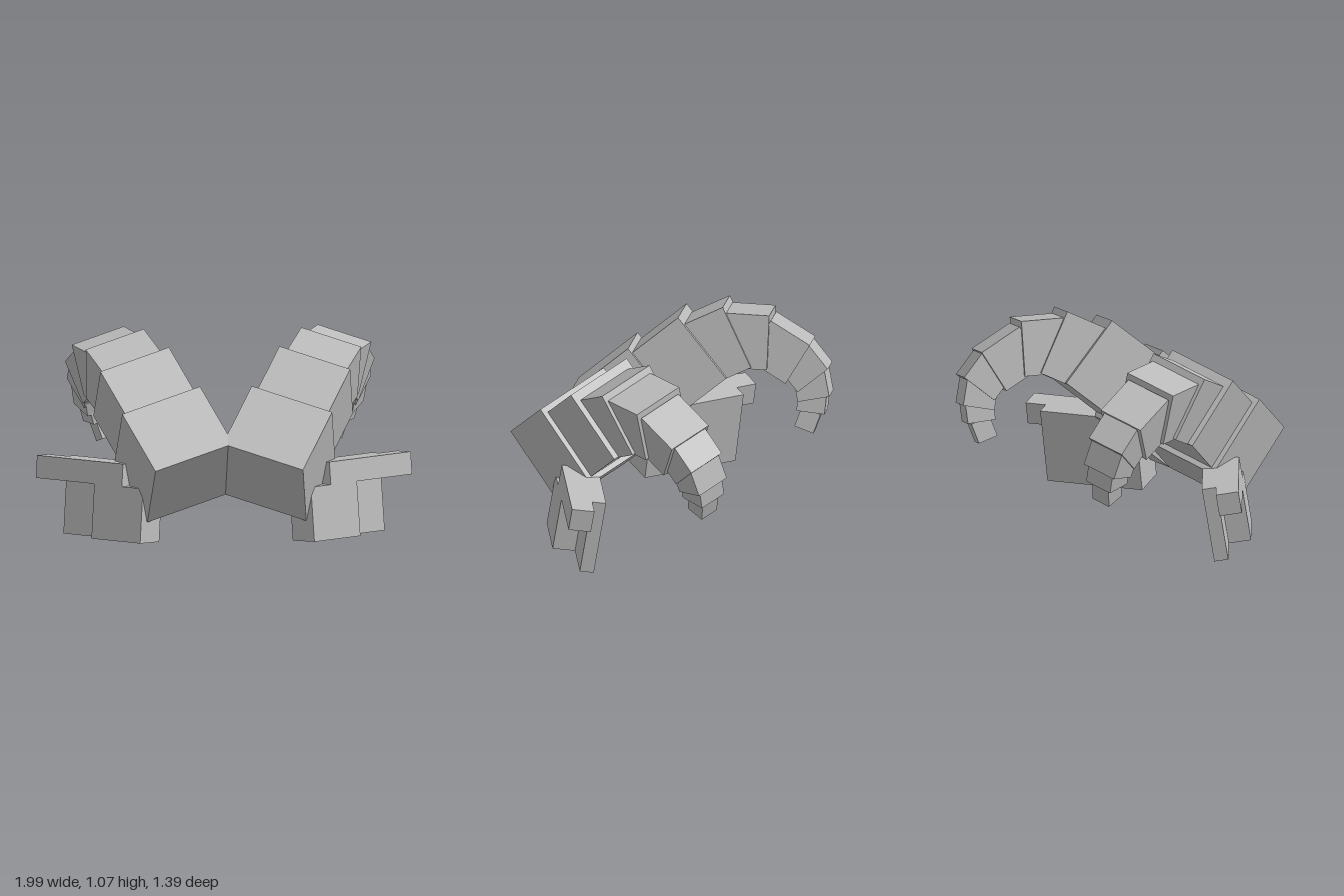
import * as THREE from 'three';

const V = (x, y, z) => new THREE.Vector3(x, y, z);

// Horn frame: the curl happens in the plane of BACK and RISE, SIDE is the axis across it
const SIDE = V(-0.908, 0.233, -0.348).normalize();
const BACK = V(0.358, 0, -0.934).normalize();
const RISE = BACK.clone().cross(SIDE).normalize();
const HORN_ORIGIN = V(0.181, 0.549, 0.615);

// Horn segments: top back edge (a along BACK, b along RISE), pitch in degrees, length, height, width
const SEGMENTS = [
  [0.301, 0.260, 40, 0.398, 0.472, 0.460],
  [0.559, 0.433, 40, 0.310, 0.410, 0.405],
  [0.791, 0.494, 26.5, 0.240, 0.354, 0.343],
  [1.037, 0.457, -1, 0.228, 0.292, 0.306],
  [1.254, 0.305, -30, 0.243, 0.245, 0.266],
  [1.350, 0.177, -50, 0.160, 0.204, 0.220],
  [1.361, 0.028, -78, 0.140, 0.170, 0.200],
  [1.336, -0.072, -95, 0.115, 0.150, 0.160],
  [1.277, -0.182, -109, 0.110, 0.107, 0.110],
];

// Side plate frame: ALONG runs outward and back, UP is its height, OUT its front normal
const ALONG = V(0.83, -0.035, -0.55).normalize();
const OUT = ALONG.clone().cross(V(-0.05, 0.985, -0.155)).normalize();
const UP = OUT.clone().cross(ALONG);
const PLATE_ORIGIN = V(0.46, 0.048, 0.447);

// Places a shape that is symmetric along its own z; side -1 mirrors it across x = 0
function place(mesh, origin, x, y, side) {
  const flip = (v) => V(v.x * side, v.y, v.z);
  const ax = flip(x), ay = flip(y), az = ax.clone().cross(ay);
  mesh.applyMatrix4(new THREE.Matrix4().makeBasis(ax, ay, az).setPosition(flip(origin)));
  return mesh;
}

function makeHorn(side, material) {
  const horn = new THREE.Group();
  SEGMENTS.forEach(([a, b, pitch, length, height, width], i) => {
    const t = THREE.MathUtils.degToRad(pitch), c = Math.cos(t), s = Math.sin(t);
    const dir = BACK.clone().multiplyScalar(c).addScaledVector(RISE, s);
    const up = BACK.clone().multiplyScalar(-s).addScaledVector(RISE, c);
    const centre = HORN_ORIGIN.clone().addScaledVector(BACK, a).addScaledVector(RISE, b)
      .addScaledVector(dir, -length / 2).addScaledVector(up, -height / 2);
    const mesh = new THREE.Mesh(new THREE.BoxGeometry(length, height, width), material);
    mesh.name = `hornSegment${i + 1}`;
    horn.add(place(mesh, centre, dir, up, side));
  });
  return horn;
}

// Extruded plate whose front lies the given depth behind the plate origin
function makePlate(name, points, front, thickness, side, material) {
  const shape = new THREE.Shape(points.map(([x, y]) => new THREE.Vector2(x, y)));
  const geometry = new THREE.ExtrudeGeometry(shape, { depth: thickness, bevelEnabled: false });
  geometry.translate(0, 0, -thickness / 2);
  const mesh = new THREE.Mesh(geometry, material);
  mesh.name = name;
  const origin = PLATE_ORIGIN.clone().addScaledVector(OUT, -front - thickness / 2);
  return place(mesh, origin, ALONG, UP, side);
}

export function createModel() {
  const model = new THREE.Group();
  model.name = 'curledHorns';
  const grey = new THREE.MeshStandardMaterial({ color: 0xbcbcbc });
  grey.name = 'hornGrey';

  for (const side of [1, -1]) {
    const prefix = side > 0 ? 'left' : 'right';
    const horn = makeHorn(side, grey);
    horn.name = `${prefix}Horn`;

    // Stepped front plate with a pointed-out upper strip, backed by a plain slab
    const guard = new THREE.Group();
    guard.name = `${prefix}SidePlate`;
    guard.add(makePlate('frontPlate', [
      [0, 0], [0.3, 0], [0.3, 0.29], [0.66, 0.29],
      [0.66, 0.41], [0.13, 0.41], [0.13, 0.29], [0, 0.29],
    ], 0, 0.12, side, grey));
    guard.add(makePlate('backPlate', [
      [0, 0], [0.545, 0], [0.545, 0.41], [0, 0.41],
    ], 0.12, 0.075, side, grey));
    model.add(horn, guard);
  }
  return model;
}
